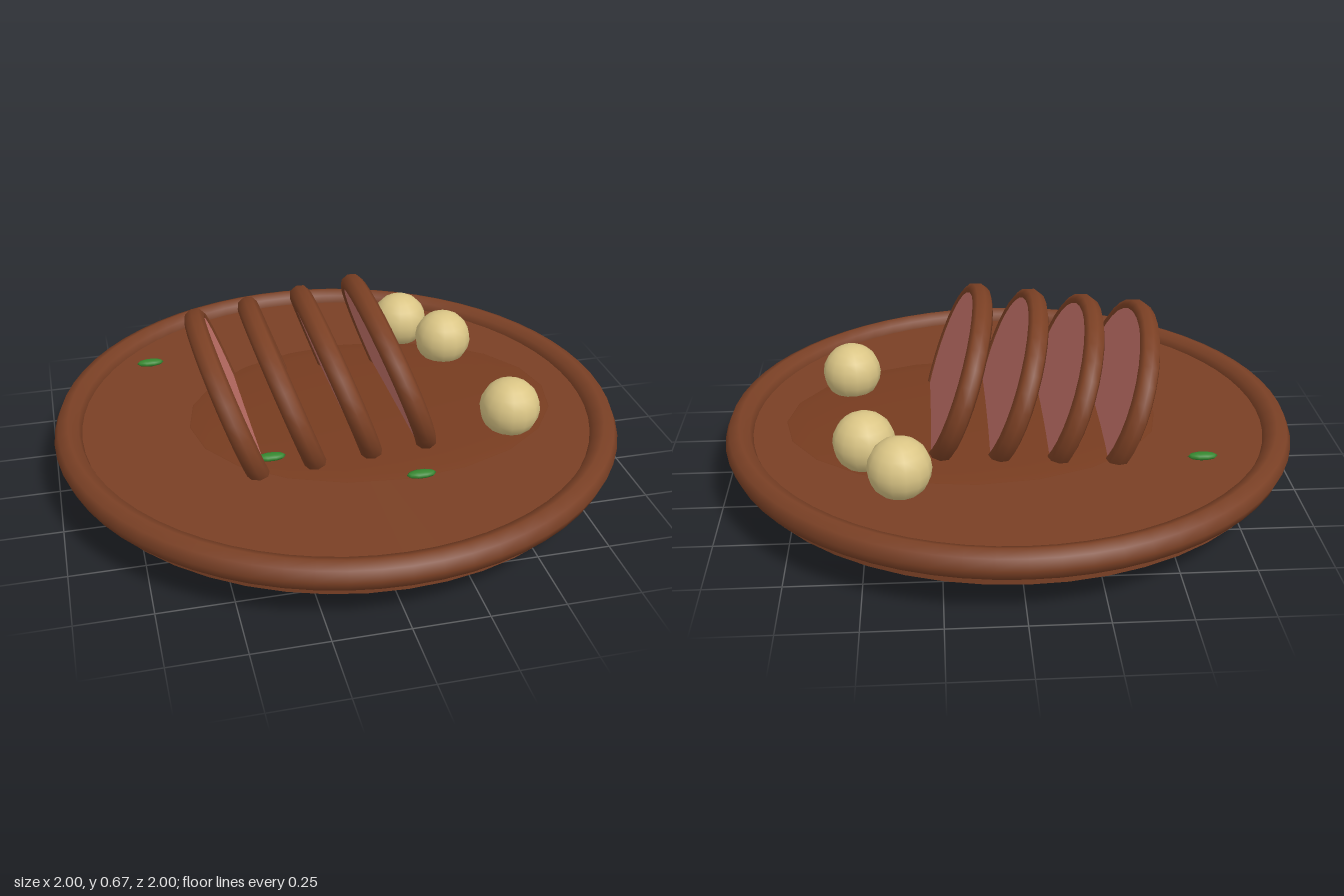
import * as THREE from 'three';

const mat = (name, color) => {
  const m = new THREE.MeshStandardMaterial({ color });
  m.name = name;
  return m;
};

export function createModel() {
  const wood = mat('plateBrown', 0x7a4025);
  const sauceMat = mat('sauceBrown', 0x773c20);
  const crustMat = mat('crustBrown', 0x7b4024);
  const meat = mat('meatPink', 0xc6736a);
  const cream = mat('potatoCream', 0xdac585);
  const green = mat('herbGreen', 0x35862f);

  const group = new THREE.Group();
  group.name = 'roastPlatter';
  const add = (parent, name, geo, material, x = 0, y = 0, z = 0) => {
    const mesh = new THREE.Mesh(geo, material);
    mesh.name = name;
    mesh.position.set(x, y, z);
    parent.add(mesh);
    return mesh;
  };

  // Round plate with a rolled rim
  add(group, 'plateBase', new THREE.CylinderGeometry(0.95, 0.95, 0.085, 48), wood, 0, 0.163, 0);
  add(group, 'plateRim', new THREE.TorusGeometry(0.95, 0.05, 8, 64).rotateX(Math.PI / 2), wood, 0, 0.197, 0);

  // Shallow pool of sauce
  const sauce = add(group, 'sauce', new THREE.SphereGeometry(1, 20, 12), sauceMat, 0.13, 0.2, 0);
  sauce.scale.set(0.68, 0.025, 0.51);

  // Four leaning oval slices, each a pink disc ringed by crust
  const crustGeo = new THREE.TorusGeometry(0.38, 0.037, 8, 32).rotateY(Math.PI / 2);
  const meatGeo = new THREE.CylinderGeometry(0.38, 0.38, 0.06, 32).rotateZ(Math.PI / 2);
  for (let i = 0; i < 4; i++) {
    const slice = new THREE.Group();
    slice.name = 'slice' + (i + 1);
    slice.position.set(-0.385 + 0.191 * i, 0.307 + 0.025 * i, 0);
    slice.rotation.z = 0.35;
    slice.scale.y = 0.76;
    add(slice, 'crust', crustGeo, crustMat);
    add(slice, 'meat', meatGeo, meat);
    group.add(slice);
  }

  // Small round potatoes
  const potatoGeo = new THREE.SphereGeometry(0.106, 14, 10);
  [[0.38, -0.51], [0.5, -0.32], [0.567, 0.25]].forEach(([x, z], i) =>
    add(group, 'potato' + (i + 1), potatoGeo, cream, x, 0.285, z));

  // Herb leaves
  const herbGeo = new THREE.SphereGeometry(1, 10, 6).scale(0.05, 0.013, 0.021);
  [[-0.62, -0.43], [-0.3, 0.33], [0.157, 0.545]].forEach(([x, z], i) =>
    add(group, 'herb' + (i + 1), herbGeo, green, x, 0.253, z));

  return group;
}
